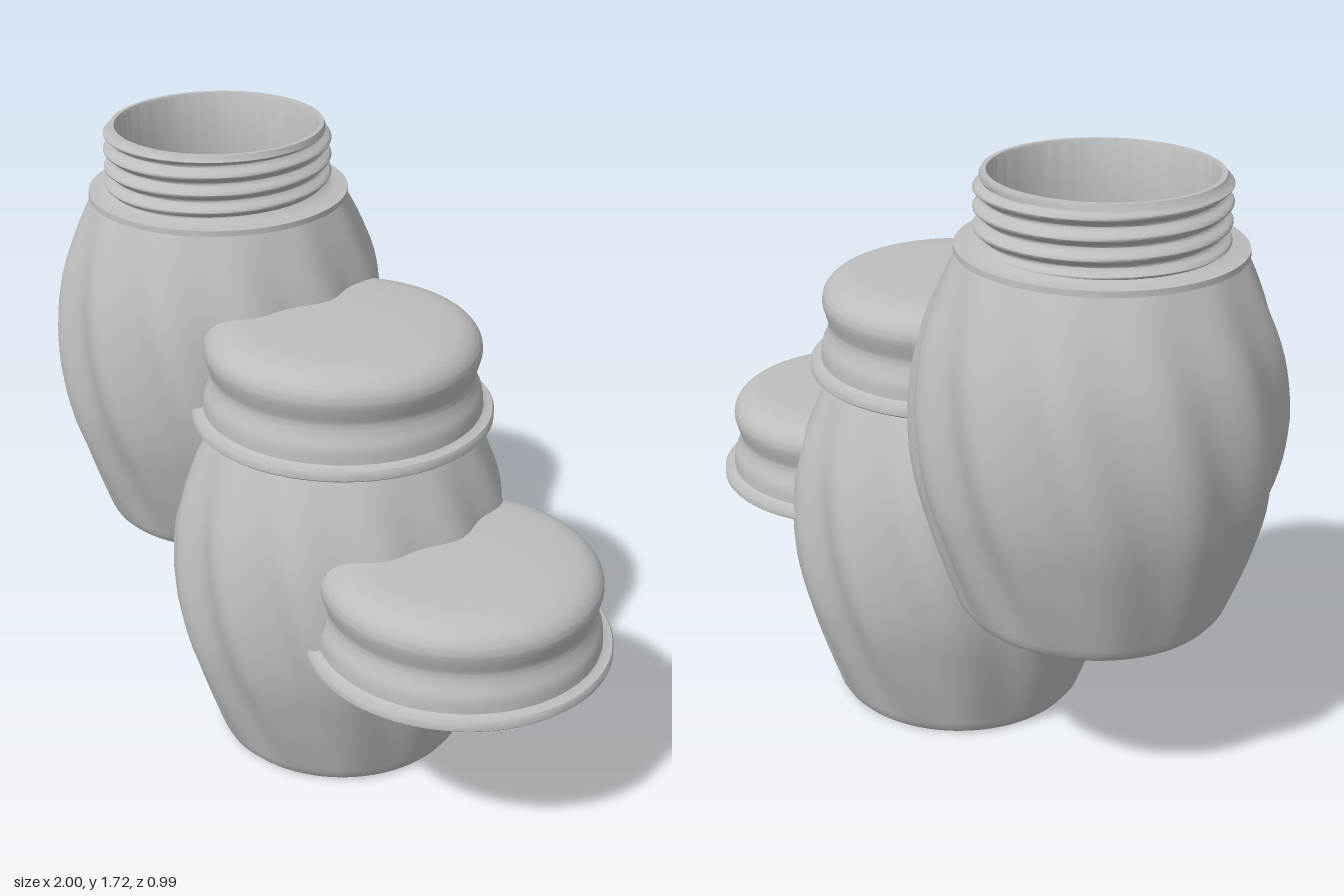
import * as THREE from 'three';
import { toCreasedNormals } from 'three/addons/utils/BufferGeometryUtils.js';

const SEGMENTS = 120;
const V = (r, y) => new THREE.Vector2(r, y);
const smooth = (pts, n) => new THREE.SplineCurve(pts.map(p => V(...p))).getPoints(n);

// Revolve a profile, then push each vertex in or out by offset(angle, y, radius)
function revolve(profile, offset) {
  const geo = new THREE.LatheGeometry(profile, SEGMENTS);
  const pos = geo.attributes.position;
  for (let i = 0; i < pos.count; i++) {
    const x = pos.getX(i), y = pos.getY(i), z = pos.getZ(i);
    const r = Math.hypot(x, z);
    if (r < 1e-4) continue;
    const k = 1 + offset(Math.atan2(x, z), y, r) / r;
    pos.setX(i, x * k);
    pos.setZ(i, z * k);
  }
  geo.deleteAttribute('uv');
  return toCreasedNormals(geo, 0.7);
}

// Hollow jar: twelve twisted flutes on the body and a helical thread on the neck
function jarGeometry() {
  const body = [[0.368, 0.015], [0.402, 0.12], [0.438, 0.24], [0.474, 0.38], [0.488, 0.52],
    [0.482, 0.65], [0.458, 0.78], [0.41, 0.91], [0.368, 1.0]];
  const outer = smooth(body, 28);
  const inner = smooth(body.map(([r, y]) => [r - 0.02, Math.min(Math.max(y, 0.03), 0.985)]), 24).reverse();
  const neck = [];
  for (let i = 0; i <= 72; i++) neck.push(V(0.316, 1.025 + 0.165 * i / 72));

  const profile = [
    V(0, 0), V(0.355, 0), ...outer,
    V(0.377, 1.0), V(0.376, 1.016), V(0.332, 1.018),   // collar
    ...neck,
    V(0.311, 1.198), V(0.307, 1.207), V(0.294, 1.207), V(0.29, 1.2), V(0.29, 1.0),
    ...inner, V(0, 0.03)
  ];

  return revolve(profile, (a, y, r) => {
    if (y > 0.01 && y < 0.999 && r > 0.3) {
      const fade = Math.pow(Math.sin(Math.PI * y), 0.8);
      return -0.016 * fade * Math.cos(12 * (a - 0.6 * (0.5 - y)));
    }
    if (y > 1.02 && y < 1.195 && r > 0.3) {
      const fade = Math.min(1, (y - 1.02) / 0.012, (1.195 - y) / 0.012);
      const turn = (y - 1.13) / 0.05 - a / (2 * Math.PI) - 0.25;
      return 0.012 * fade * Math.cos(2 * Math.PI * turn);
    }
    return 0;
  });
}

// Hollow screw lid: rolled flange, waisted wall and a softly domed top
function lidGeometry() {
  const wall = [[0.394, 0.036], [0.39, 0.075], [0.376, 0.11], [0.37, 0.14], [0.38, 0.175],
    [0.386, 0.205], [0.378, 0.235], [0.35, 0.262], [0.3, 0.278], [0.2, 0.285], [0, 0.287]];
  const inside = wall.map(([r, y]) => [Math.max(r - 0.018, 0), y > 0.2 ? y - 0.018 : y]).reverse();
  const profile = [
    ...smooth(inside, 40),
    V(0.376, 0.02), V(0.385, 0), V(0.42, 0), V(0.424, 0.004), V(0.424, 0.025),
    V(0.42, 0.03), V(0.402, 0.031),
    ...smooth(wall, 48)
  ];
  return revolve(profile, () => 0);
}

export function createModel() {
  const group = new THREE.Group();
  const grey = new THREE.MeshStandardMaterial({ color: 0xbdbdbd });
  grey.name = 'plain grey';
  const jar = jarGeometry(), lid = lidGeometry();

  const add = (name, geo, x, y) => {
    const mesh = new THREE.Mesh(geo, grey);
    mesh.name = name;
    mesh.position.set(x, y, 0);
    group.add(mesh);
  };
  add('openJar', jar, -0.505, 0.51);
  add('closedJar', jar, 0.07, 0);
  add('closedJarLid', lid, 0.07, 1.018);
  add('looseLid', lid, 0.576, 0.51);
  return group;
}
